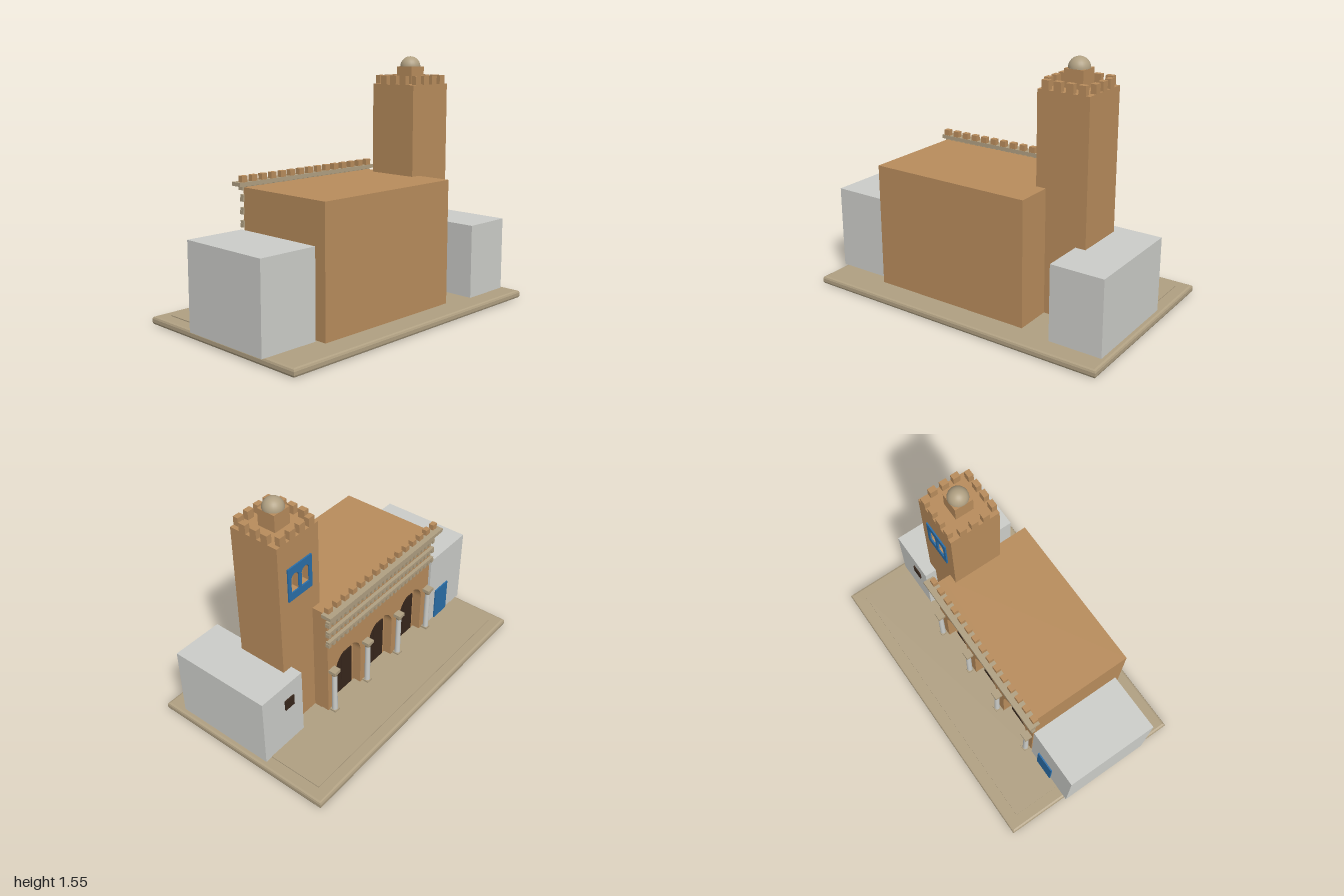
import * as THREE from 'three';

const mat = (name, color) => {
  const m = new THREE.MeshStandardMaterial({ color });
  m.name = name;
  return m;
};

export function createModel() {
  const brick = mat('ochre wall', 0xb88c5c);
  const stone = mat('sandstone', 0xb0a082);
  const white = mat('pale plaster', 0xcccdc9);
  const blue = mat('blue paint', 0x2a6ea8);
  const dark = mat('dark wood', 0x38271c);
  const root = new THREE.Group();

  const add = (name, geo, material, parent = root) => {
    const m = new THREE.Mesh(geo, material);
    m.name = name;
    parent.add(m);
    return m;
  };
  // box given by its extents on each axis
  const box = (name, material, [x0, x1], [y0, y1], [z0, z1], parent) => {
    const g = new THREE.BoxGeometry(x1 - x0, y1 - y0, z1 - z0);
    g.translate((x0 + x1) / 2, (y0 + y1) / 2, (z0 + z1) / 2);
    return add(name, g, material, parent);
  };
  const group = (name) => {
    const g = new THREE.Group();
    g.name = name;
    root.add(g);
    return g;
  };
  const rect = (x0, x1, y0, y1) => new THREE.Shape([
    new THREE.Vector2(x0, y0), new THREE.Vector2(x1, y0),
    new THREE.Vector2(x1, y1), new THREE.Vector2(x0, y1)]);
  const archHole = (cx, r, y0, spring) => {
    const p = new THREE.Path();
    p.moveTo(cx - r, y0);
    p.lineTo(cx - r, spring);
    p.absarc(cx, spring, r, Math.PI, 0, true);
    p.lineTo(cx + r, y0);
    p.closePath();
    return p;
  };
  const slab = (name, shape, z0, z1, material, parent) => {
    const g = new THREE.ExtrudeGeometry(shape, { depth: z1 - z0, bevelEnabled: false, curveSegments: 16 });
    g.translate(0, 0, z0);
    return add(name, g, material, parent);
  };

  // Plinth with chamfered rim, and raised forecourt
  const plinth = new THREE.ExtrudeGeometry(rect(-0.965, 0.985, -0.6, 0.6),
    { depth: 0.02, bevelThickness: 0.015, bevelSize: 0.015, bevelSegments: 2 });
  plinth.rotateX(-Math.PI / 2);
  plinth.translate(0, 0.015, 0);
  add('plinth', plinth, stone);
  box('forecourt', stone, [-0.9, 0.92], [0.045, 0.056], [-0.535, -0.16]);

  // Main hall with an arcaded facade
  const cx = -0.085, bay = 0.325;
  const arches = [-1, 0, 1].map((i) => cx + i * bay);
  box('hall', brick, [-0.605, 0.435], [0.05, 0.82], [-0.15, 0.455]);
  const front = rect(-0.605, 0.435, 0.045, 0.82);
  arches.forEach((x) => front.holes.push(archHole(x, 0.12, 0.05, 0.33)));
  slab('arcadeWall', front, -0.21, -0.15, brick);

  const doors = group('doors');
  for (const x of arches) {
    for (const s of [-1, 1]) {
      const c = x + s * 0.049;
      box('doorLeaf', dark, [c - 0.047, c + 0.047], [0.055, 0.35], [-0.159, -0.15], doors);
    }
  }

  // Columns between the arches
  const columns = group('columns');
  for (let i = 0; i < 4; i++) {
    const x = cx + (i - 1.5) * bay, z = -0.234;
    const shaft = new THREE.CylinderGeometry(0.017, 0.018, 0.3, 16);
    shaft.translate(x, 0.215, z);
    add('shaft', shaft, white, columns);
    box('columnBase', stone, [x - 0.022, x + 0.022], [0.05, 0.068], [z - 0.022, z + 0.022], columns);
    const bell = new THREE.CylinderGeometry(0.026, 0.018, 0.02, 16);
    bell.translate(x, 0.358, z);
    add('capital', bell, stone, columns);
    box('abacus', stone, [x - 0.027, x + 0.027], [0.368, 0.39], [z - 0.025, z + 0.025], columns);
  }

  // Dentil courses above the arches
  const courses = group('dentilCourses');
  for (const y of [0.586, 0.662, 0.737]) {
    box('course', stone, [-0.613, 0.443], [y + 0.024, y + 0.04], [-0.232, -0.205], courses);
    for (let i = 0; i < 27; i++) {
      const x = cx + (i - 13) * 0.04;
      box('dentil', stone, [x - 0.011, x + 0.011], [y, y + 0.024], [-0.232, -0.205], courses);
    }
  }

  // Cornice, its brackets and the merlons on top
  const cornice = group('cornice');
  box('corniceSlab', stone, [-0.64, 0.475], [0.826, 0.849], [-0.27, -0.2], cornice);
  for (let i = 0; i < 27; i++) {
    const x = cx + (i - 13) * 0.04;
    box('bracket', stone, [x - 0.011, x + 0.011], [0.803, 0.826], [-0.242, -0.205], cornice);
  }
  for (let i = 0; i < 15; i++) {
    const x = cx + (i - 7) * 0.0738;
    box('merlon', brick, [x - 0.02, x + 0.02], [0.849, 0.886], [-0.235, -0.202], cornice);
  }

  // Tower with a twin-arched belfry window
  const tower = group('tower');
  const tx = 0.535, tz = 0.06, h = 0.164;
  box('towerBody', brick, [tx - h, tx + h], [0.05, 1.38], [-0.064, tz + h], tower);
  const face = rect(tx - h, tx + h, 0.05, 1.38);
  const panel = rect(0.438, 0.632, 0.99, 1.21);
  for (const s of [-1, 1]) {
    face.holes.push(archHole(tx + s * 0.042, 0.031, 1.04, 1.13));
    panel.holes.push(archHole(tx + s * 0.042, 0.031, 1.04, 1.13));
  }
  slab('towerFace', face, tz - h, -0.064, brick, tower);
  slab('windowPanel', panel, -0.113, tz - h, blue, tower);

  // Battlements: four merlons across, three along each side
  for (const s of [-1, 1]) {
    const z = tz + s * (h - 0.017), x = tx + s * (h - 0.017);
    for (let i = 0; i < 4; i++) {
      const mx = tx + (i - 1.5) * 0.0765;
      box('towerMerlon', brick, [mx - 0.023, mx + 0.023], [1.38, 1.434], [z - 0.017, z + 0.017], tower);
    }
    for (let i = -1; i <= 1; i++) {
      const mz = tz + i * 0.077;
      box('towerMerlon', brick, [x - 0.017, x + 0.017], [1.38, 1.434], [mz - 0.023, mz + 0.023], tower);
    }
  }

  // Lantern and dome
  box('lantern', brick, [tx - 0.06, tx + 0.06], [1.38, 1.488], [tz - 0.06, tz + 0.06], tower);
  const dome = new THREE.SphereGeometry(0.063, 24, 10, 0, Math.PI * 2, 0, Math.PI / 2);
  dome.translate(tx, 1.488, tz);
  add('dome', dome, stone, tower);
  const rim = new THREE.CircleGeometry(0.063, 24);
  rim.rotateX(Math.PI / 2);
  rim.translate(tx, 1.488, tz);
  add('domeUnderside', rim, stone, tower);

  // Side buildings
  box('rightHouse', white, [-1, -0.62], [0.05, 0.575], [-0.217, 0.395]);
  box('houseDoor', blue, [-0.83, -0.69], [0.05, 0.287], [-0.226, -0.217]);
  box('leftHouse', white, [0.635, 0.966], [0.05, 0.512], [-0.182, 0.49]);
  box('houseWindow', dark, [0.713, 0.787], [0.332, 0.402], [-0.191, -0.182]);

  return root;
}
